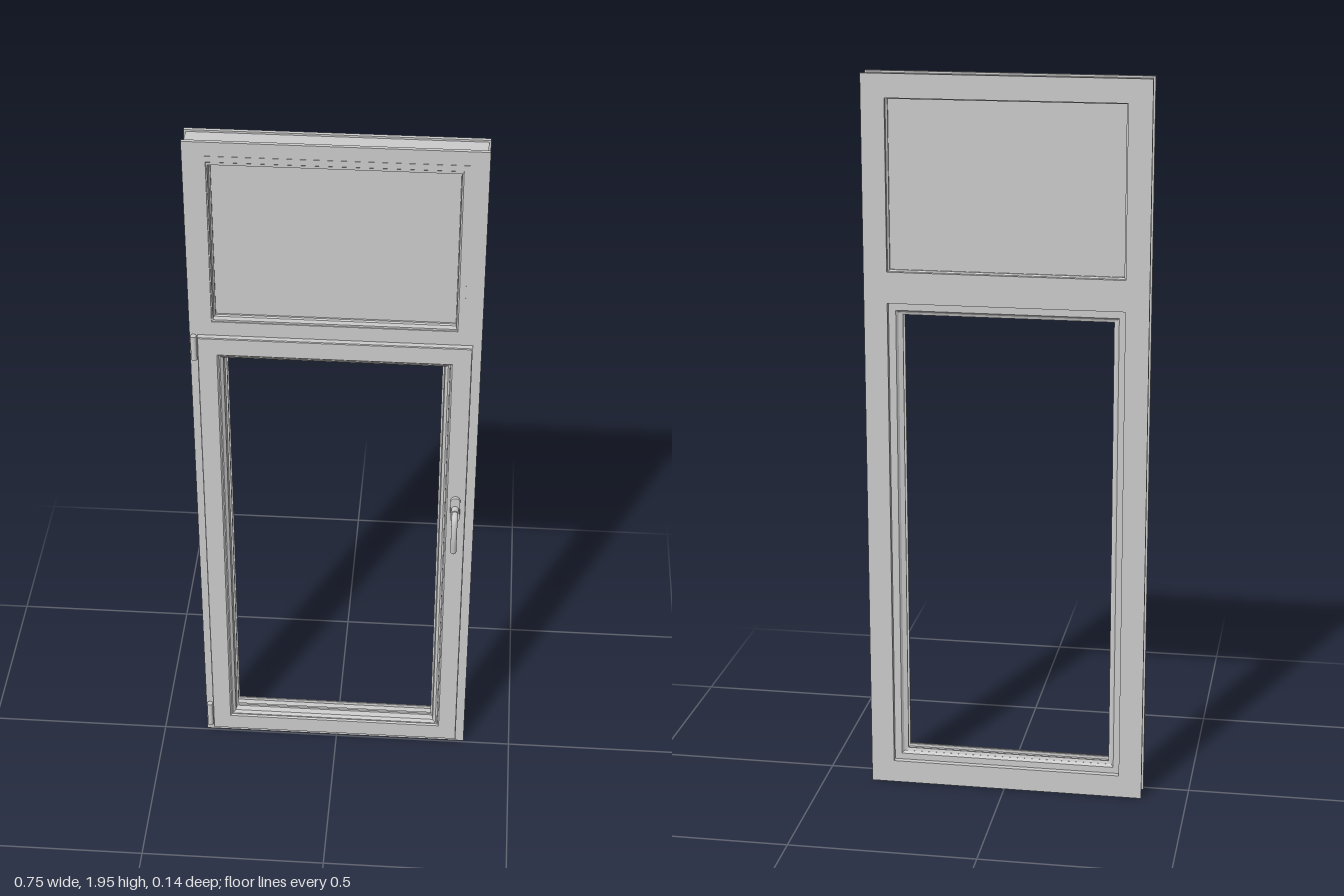
import * as THREE from 'three';

const material = new THREE.MeshStandardMaterial({ color: 0xcccccc, side: THREE.DoubleSide });

function add(parent, name, geometry, x = 0, y = 0, z = 0) {
  const mesh = new THREE.Mesh(geometry, material);
  mesh.name = name;
  mesh.position.set(x, y, z);
  parent.add(mesh);
  return mesh;
}

// Mitred rectangular frame: profile points are [inset, z], front outer edge first, then inward and back
function mitredRing(x0, x1, y0, y1, profile) {
  const at = (c, [d, z]) => [
    [x0 + d, y0 + d, z], [x1 - d, y0 + d, z], [x1 - d, y1 - d, z], [x0 + d, y1 - d, z],
  ][c % 4];
  const position = [];
  for (let c = 0; c < 4; c++) {
    profile.forEach((p, i) => {
      const q = profile[(i + 1) % profile.length];
      const a = at(c, p), b = at(c + 1, p), e = at(c + 1, q), f = at(c, q);
      position.push(...a, ...b, ...e, ...a, ...e, ...f);
    });
  }
  const geometry = new THREE.BufferGeometry();
  geometry.setAttribute('position', new THREE.Float32BufferAttribute(position, 3));
  geometry.computeVertexNormals();
  return geometry;
}

const box = (x0, x1, y0, y1, z0, z1) =>
  new THREE.BoxGeometry(x1 - x0, y1 - y0, z1 - z0)
    .translate((x0 + x1) / 2, (y0 + y1) / 2, (z0 + z1) / 2);

export function createModel() {
  const model = new THREE.Group();
  model.name = 'window';

  // Fixed outer frame with a shallow channel around its edge
  add(model, 'outerFrame', mitredRing(-0.377, 0.369, 0.053, 2, [
    [0, -0.005], [0.062, -0.005], [0.062, -0.073], [0, -0.073],
    [0, -0.063], [0.005, -0.063], [0.005, -0.015], [0, -0.015],
  ]));
  add(model, 'transom', box(-0.316, 0.308, 1.405, 1.488, -0.073, -0.005));

  // Fixed upper light: bead, gasket and panel
  const upper = new THREE.Group();
  upper.name = 'upperLight';
  model.add(upper);
  add(upper, 'upperBead', mitredRing(-0.335, 0.323, 1.466, 1.962, [
    [0, -0.004], [0.016, -0.004], [0.02, -0.008], [0.022, -0.028], [0, -0.028],
  ]));
  add(upper, 'upperGasket', mitredRing(-0.316, 0.308, 1.486, 1.94, [
    [0, -0.02], [0.006, -0.024], [0.006, -0.058], [0, -0.062],
  ]));
  add(upper, 'upperPanel', box(-0.316, 0.308, 1.486, 1.94, -0.053, -0.029));

  // Opening sash, lapping over the frame in front and stepped towards the glazing
  const sash = new THREE.Group();
  sash.name = 'sash';
  model.add(sash);
  add(sash, 'sashFrame', mitredRing(-0.356, 0.346, 0.074, 1.442, [
    [0, 0.011], [0.002, 0.013], [0.05, 0.013], [0.054, 0.009], [0.054, -0.004],
    [0.064, -0.008], [0.064, -0.05], [0.058, -0.057], [0.034, -0.057], [0.034, -0.003], [0, -0.003],
  ]));
  add(sash, 'glazingBead', mitredRing(-0.304, 0.291, 0.126, 1.391, [
    [0, 0.009], [0.005, 0.009], [0.013, 0.003], [0.015, -0.012], [0.015, -0.02], [0, -0.02],
  ]));
  add(sash, 'glazingGasket', mitredRing(-0.3, 0.287, 0.13, 1.387, [
    [0, -0.012], [0.016, -0.014], [0.016, -0.02], [0, -0.02],
  ]));
  add(sash, 'rearGasket', mitredRing(-0.3, 0.287, 0.13, 1.387, [
    [0, -0.042], [0.016, -0.043], [0.016, -0.047], [0, -0.052],
  ]));

  // Hinges on the -x side
  for (const [name, y0, y1] of [['upperHinge', 1.37, 1.442], ['lowerHinge', 0.08, 0.16]]) {
    const hinge = new THREE.Group();
    hinge.name = name;
    model.add(hinge);
    add(hinge, name + 'Barrel', new THREE.CylinderGeometry(0.008, 0.008, y1 - y0, 20), -0.366, (y0 + y1) / 2, 0.004);
    add(hinge, name + 'Leaf', box(-0.373, -0.355, y0 + 0.004, y1 - 0.004, -0.006, 0.004));
  }

  // Handle: rounded rose, neck and downward curved grip
  const handle = new THREE.Group();
  handle.name = 'handle';
  handle.position.set(0.318, 0, 0);
  model.add(handle);
  const r = 0.011;
  const outline = new THREE.Shape();
  outline.absarc(0, 0.953, r, 0, Math.PI);
  outline.absarc(0, 0.898, r, Math.PI, Math.PI * 2);
  outline.closePath();
  add(handle, 'handleRose', new THREE.ExtrudeGeometry(outline, {
    depth: 0.007, bevelThickness: 0.002, bevelSize: 0.002, bevelSegments: 2, curveSegments: 12,
  }), 0, 0, 0.013);
  const neck = new THREE.CylinderGeometry(0.009, 0.01, 0.022, 20).rotateX(Math.PI / 2);
  add(handle, 'handleNeck', neck, 0, 0.93, 0.03);
  const path = new THREE.CatmullRomCurve3([
    [0.928, 0.026], [0.929, 0.044], [0.922, 0.056], [0.9, 0.062], [0.86, 0.063], [0.812, 0.056],
  ].map(([y, z]) => new THREE.Vector3(0, y, z)));
  const grip = new THREE.TubeGeometry(path, 32, 0.007, 14);
  add(handle, 'handleGrip', grip).scale.x = 1.15;
  const tip = add(handle, 'handleTip', new THREE.SphereGeometry(0.007, 14, 10), 0, 0.812, 0.056);
  tip.scale.x = 1.15;

  return model;
}
